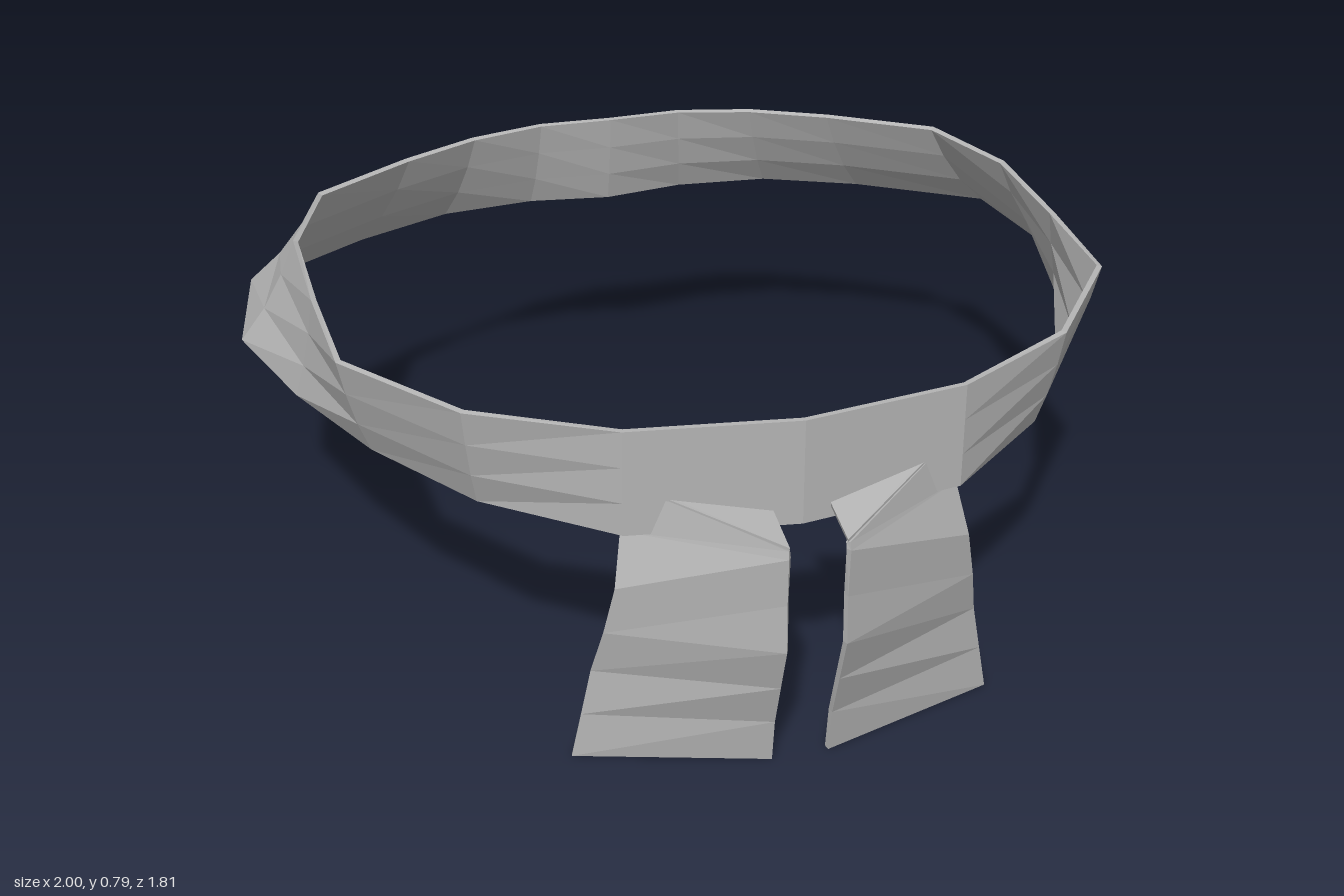
import * as THREE from 'three';

const V = (x, y, z) => new THREE.Vector3(x, y, z);

// Thin cloth strip with thickness, built from a grid of points [column][row]
function cloth(grid, closed, thick = 0.012) {
  const cols = grid.length, rows = grid[0].length;
  const at = (i, j) => grid[closed ? (i + cols) % cols : Math.min(Math.max(i, 0), cols - 1)][Math.min(Math.max(j, 0), rows - 1)];
  const position = [], index = [];
  for (let i = 0; i < cols; i++) {
    for (let j = 0; j < rows; j++) {
      const du = at(i + 1, j).clone().sub(at(i - 1, j));
      const dv = at(i, j + 1).clone().sub(at(i, j - 1));
      const n = du.cross(dv).normalize().multiplyScalar(thick / 2);
      const p = grid[i][j];
      position.push(p.x + n.x, p.y + n.y, p.z + n.z, p.x - n.x, p.y - n.y, p.z - n.z);
    }
  }
  const F = (i, j) => ((i % cols) * rows + j) * 2;
  const B = (i, j) => F(i, j) + 1;
  const quad = (a, b, c, d) => index.push(a, b, c, a, c, d);
  const spans = closed ? cols : cols - 1, last = rows - 1;
  for (let i = 0; i < spans; i++) {
    for (let j = 0; j < last; j++) {
      quad(F(i, j), F(i + 1, j), F(i + 1, j + 1), F(i, j + 1));
      quad(B(i, j), B(i, j + 1), B(i + 1, j + 1), B(i + 1, j));
    }
    quad(F(i, 0), B(i, 0), B(i + 1, 0), F(i + 1, 0));
    quad(F(i, last), F(i + 1, last), B(i + 1, last), B(i, last));
  }
  if (!closed) {
    for (let j = 0; j < last; j++) {
      const e = cols - 1;
      quad(F(0, j), F(0, j + 1), B(0, j + 1), B(0, j));
      quad(F(e, j), B(e, j), B(e, j + 1), F(e, j + 1));
    }
  }
  const g = new THREE.BufferGeometry();
  g.setAttribute('position', new THREE.Float32BufferAttribute(position, 3));
  g.setIndex(index);
  const flat = g.toNonIndexed();
  flat.computeVertexNormals();
  return flat;
}

export function createModel() {
  const model = new THREE.Group();
  model.name = 'tiedHeadband';
  const fabric = new THREE.MeshStandardMaterial({ color: 0xb4b4b4, side: THREE.DoubleSide });
  fabric.name = 'grey fabric';

  const add = (name, geometry) => {
    const mesh = new THREE.Mesh(geometry, fabric);
    mesh.name = name;
    model.add(mesh);
  };

  // Band: half outlines from back to front as [x, z], top edge and flared bottom edge
  const top = [[0, -0.82], [0.18, -0.825], [0.36, -0.78], [0.54, -0.69], [0.77, -0.54], [0.855, -0.29],
    [0.85, 0.02], [0.835, 0.31], [0.63, 0.58], [0.35, 0.735], [0, 0.785]];
  const bottom = [[0, -0.87], [0.2, -0.9], [0.43, -0.88], [0.66, -0.78], [0.945, -0.6], [0.993, -0.29],
    [0.9, 0], [0.775, 0.27], [0.6, 0.53], [0.35, 0.735], [0, 0.785]];
  const levels = [[0.79, 0], [0.71, 0.25], [0.63, 0.58], [0.556, 1]];
  const column = (i, s) => levels.map(([y, f]) => V(
    s * THREE.MathUtils.lerp(top[i][0], bottom[i][0], f), y,
    THREE.MathUtils.lerp(top[i][1], bottom[i][1], f)));
  const ring = top.map((_, i) => column(i, 1));
  for (let i = top.length - 2; i > 0; i--) ring.push(column(i, -1));
  add('band', cloth(ring, true));

  // Hanging tails: [y, inner z, outer z] down the length
  const drop = [[0.55, 0.895, 0.71], [0.44, 0.89, 0.745], [0.33, 0.895, 0.73],
    [0.22, 0.86, 0.7], [0.11, 0.825, 0.695], [0.002, 0.81, 0.69]];
  for (const [side, s] of [['left', 1], ['right', -1]]) {
    const inner = [V(s * 0.06, 0.565, 0.89)];
    const outer = [V(s * 0.335, 0.65, 0.7)];
    for (const [y, zi, zo] of drop) {
      inner.push(V(s * 0.06, y, zi));
      outer.push(V(s * (0.46 - 0.2 * y), y, zo));
    }
    add(side + 'Tail', cloth([inner, outer], false));

    // Triangular fold passing under the band
    add(side + 'Fold', cloth([
      [V(s * 0.06, 0.565, 0.89), V(s * 0.06, 0.62, 0.59)],
      [V(s * 0.335, 0.648, 0.705), V(s * 0.335, 0.65, 0.69)],
    ], false));
  }
  return model;
}
